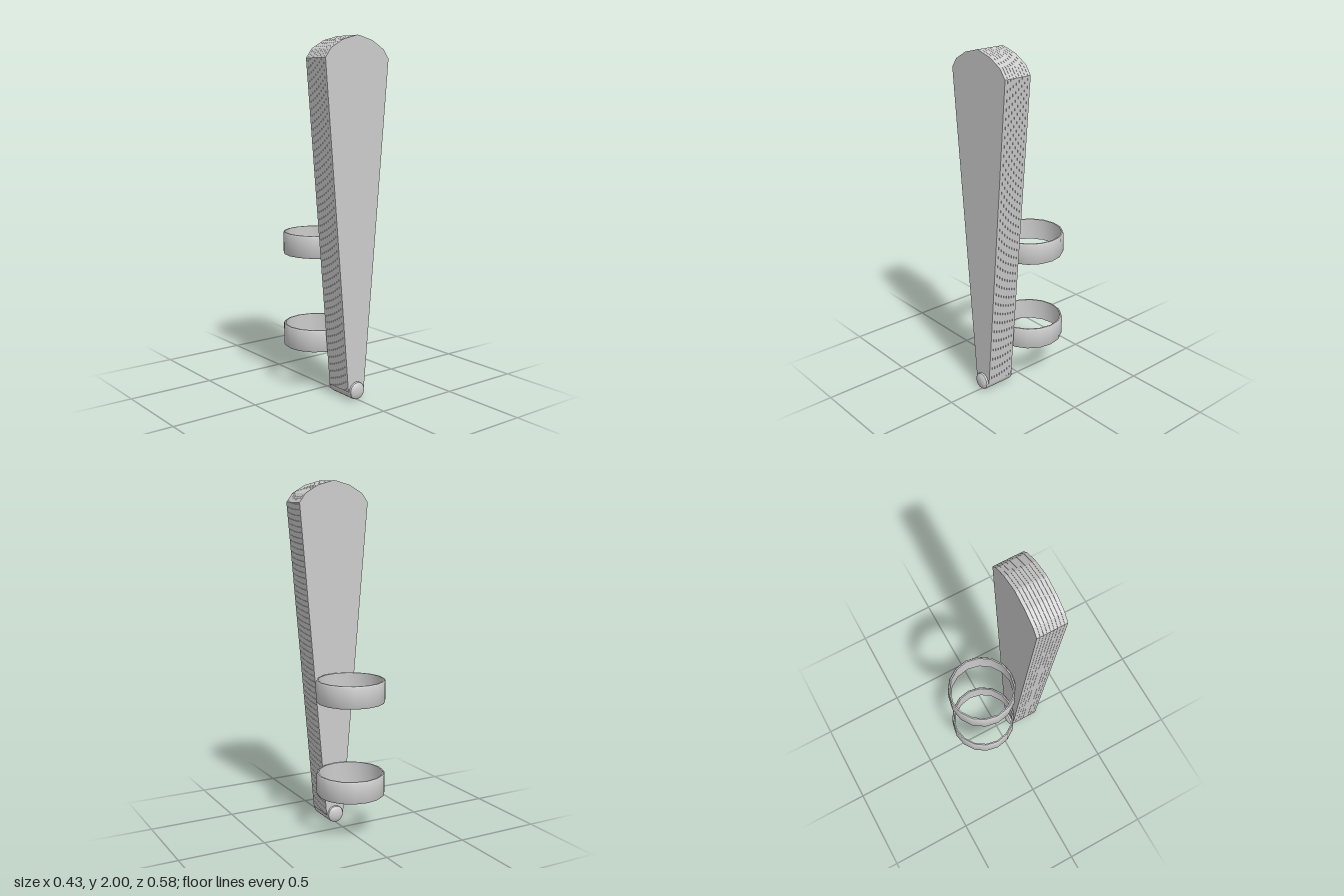
import * as THREE from 'three';
import { toCreasedNormals } from 'three/addons/utils/BufferGeometryUtils.js';

const grey = new THREE.MeshStandardMaterial({ color: 0xcccccc });
grey.name = 'pale grey';

function lathe(points, sides) {
  const geo = new THREE.LatheGeometry(points.map(([r, y]) => new THREE.Vector2(r, y)), sides);
  return toCreasedNormals(geo, 0.6);
}

function add(parent, name, geo, x, y, z) {
  const mesh = new THREE.Mesh(geo, grey);
  mesh.name = name;
  mesh.position.set(x, y, z);
  parent.add(mesh);
  return mesh;
}

export function createModel() {
  const model = new THREE.Group();
  model.name = 'foldedFan';

  // Stack of identical tapered blades with an arched top
  const half = [[0.055, 0.05], [0.215, 1.88], [0.178, 1.93], [0.1, 1.975], [0.006, 2]];
  const outline = [...half, ...half.map(([x, y]) => [-x, y]).reverse()];
  const shape = new THREE.Shape(outline.map(([x, y]) => new THREE.Vector2(x, y)));
  const count = 9, zBack = 0.096, pitch = 0.019;
  const bladeGeo = new THREE.ExtrudeGeometry(shape, { depth: 0.018, bevelEnabled: false });
  const blades = new THREE.Group();
  blades.name = 'blades';
  for (let i = 0; i < count; i++) add(blades, 'blade', bladeGeo, 0, 0, zBack + i * pitch);
  model.add(blades);

  // Pivot pin with domed ends, running through the foot of the blades
  const pinGeo = lathe([
    [0, -0.11], [0.022, -0.109], [0.04, -0.103], [0.048, -0.096], [0.05, -0.085],
    [0.05, 0.085], [0.048, 0.096], [0.04, 0.103], [0.022, 0.109], [0, 0.11],
  ], 24);
  add(model, 'pivotPin', pinGeo, 0, 0.05, 0.181).rotation.x = Math.PI / 2;

  // Two upright bands behind the blades, edges slightly chamfered
  const h = 0.0635, c = 0.01, outer = 0.197, inner = 0.184;
  const ringGeo = lathe([
    [inner, -h], [outer - 0.005, -h], [outer, -h + c], [outer, h - c],
    [outer - 0.005, h], [inner, h], [inner, -h],
  ], 16);
  for (const [name, y] of [['lowerRing', 0.303], ['upperRing', 0.843]]) {
    add(model, name, ringGeo, 0, y, -0.096);
  }
  return model;
}
